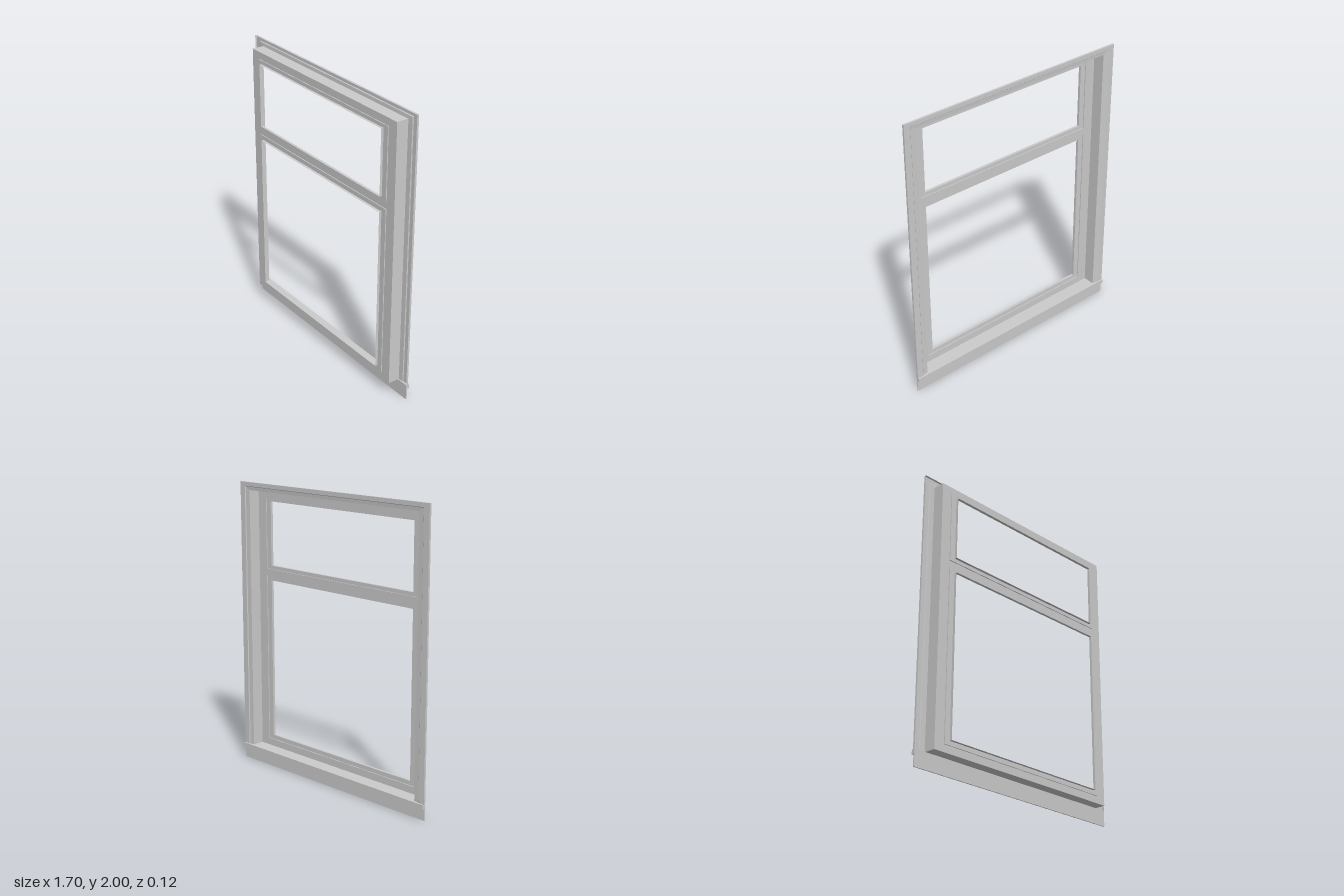
import * as THREE from 'three';

const material = new THREE.MeshStandardMaterial({
  color: 0xcccccc, flatShading: true, side: THREE.DoubleSide,
});

// Sheet joining successive outlines, each a list of [x, y, z] corners.
function sheet(name, outlines, closed) {
  const n = outlines[0].length;
  const index = [];
  for (let r = 0; r < outlines.length - 1; r++) {
    for (let i = 0; i < (closed ? n : n - 1); i++) {
      const j = (i + 1) % n;
      const a = r * n + i, b = r * n + j, c = a + n, d = b + n;
      index.push(a, c, b, b, c, d);
    }
  }
  const g = new THREE.BufferGeometry();
  g.setAttribute('position', new THREE.Float32BufferAttribute(outlines.flat(2), 3));
  g.setIndex(index);
  const flat = g.toNonIndexed();
  flat.computeVertexNormals();
  const mesh = new THREE.Mesh(flat, material);
  mesh.name = name;
  return mesh;
}

// Rectangle running up the left, over the top and down the right.
const rect = (w, y0, y1, z) => [[-w, y0, z], [-w, y1, z], [w, y1, z], [w, y0, z]];

export function createModel() {
  const group = new THREE.Group();
  const W = 0.765, BOTTOM = 0.11, TOP = 1.945, FACE = 0.038, BACK = -0.038;

  // Moulded casing around the sides and top, resting on the sill
  const casing = [
    [0.85, 2.0, BACK], [0.85, 2.0, -0.052], [0.805, 1.972, -0.052],
    [0.8, 1.968, -0.047], [W, TOP, -0.045], [W, TOP, BACK],
  ].map(([w, top, z]) => rect(w, BOTTOM, top, z));
  group.add(sheet('casing', casing, false));

  // Deep reveal between casing and frame face
  group.add(sheet('reveal', [rect(W, BOTTOM, TOP, BACK), rect(W, BOTTOM, TOP, FACE)], true));

  // Frame face with one opening per sash
  const sashes = [
    { name: 'lowerSash', outer: [0.16, 1.35], inner: [0.19, 1.32] },
    { name: 'upperSash', outer: [1.4, 1.895], inner: [1.425, 1.87] },
  ];
  const points = (w, y0, y1) => rect(w, y0, y1, 0).map(([x, y]) => new THREE.Vector2(x, y));
  const shape = new THREE.Shape(points(W, BOTTOM, TOP));
  for (const s of sashes) shape.holes.push(new THREE.Path(points(0.69, ...s.outer)));
  const face = new THREE.Mesh(new THREE.ShapeGeometry(shape), material);
  face.name = 'frameFace';
  face.position.z = FACE;
  group.add(face);

  // Stepped sash surrounds, open in the middle
  for (const s of sashes) {
    group.add(sheet(s.name, [
      rect(0.69, ...s.outer, FACE), rect(0.69, ...s.outer, 0.044),
      rect(0.65, ...s.inner, 0.044), rect(0.65, ...s.inner, 0.062),
    ], true));
  }

  // Projecting sill and the apron below it
  const slab = (name, y0, y1, z0, z1) => {
    const mesh = new THREE.Mesh(new THREE.BoxGeometry(1.7, y1 - y0, z1 - z0), material);
    mesh.name = name;
    mesh.position.set(0, (y0 + y1) / 2, (z0 + z1) / 2);
    group.add(mesh);
  };
  slab('sill', 0.08, BOTTOM, -0.062, BACK);
  slab('apron', 0, 0.08, -0.046, BACK);

  return group;
}
